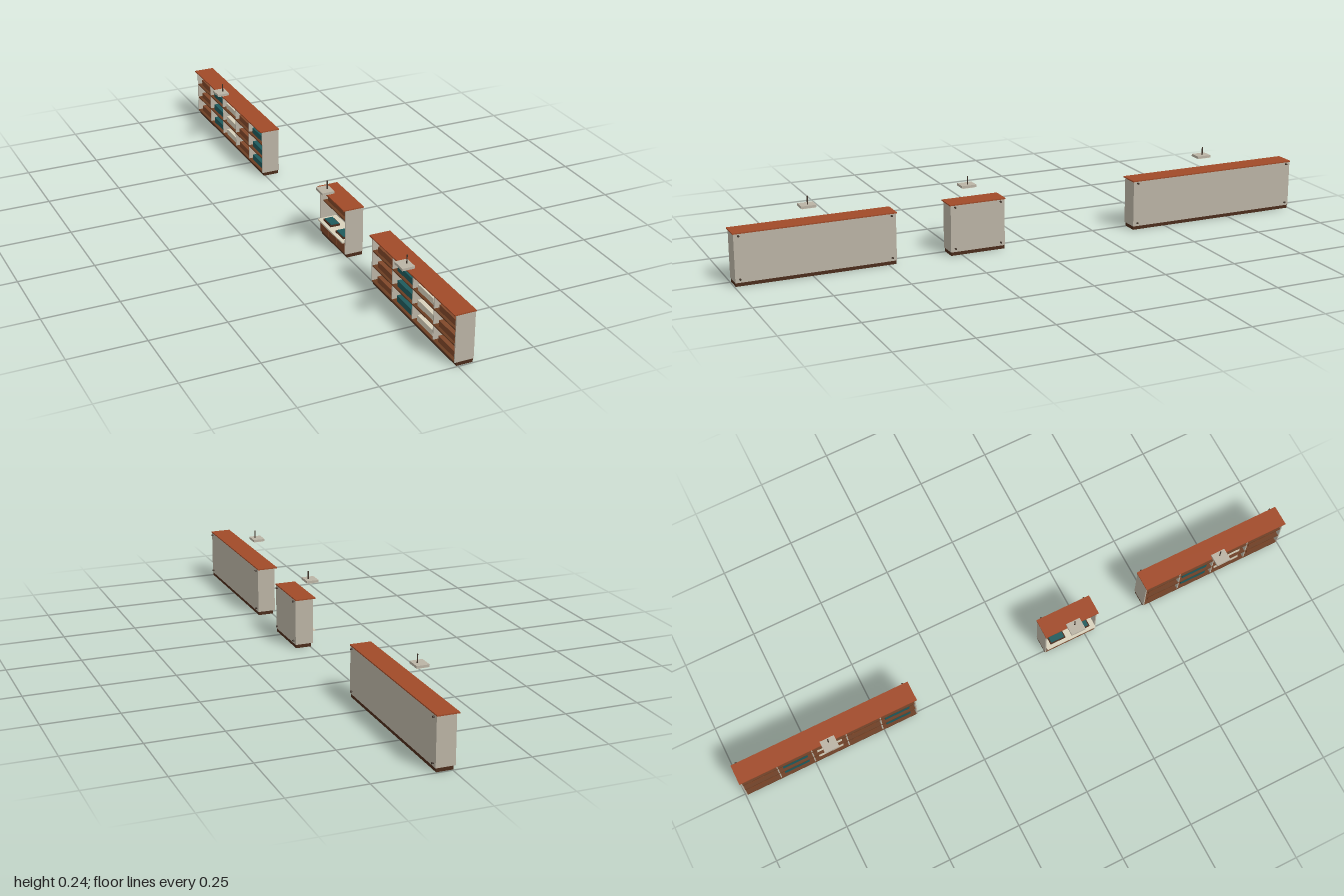
import * as THREE from 'three';

const paint = (name, color) => {
  const m = new THREE.MeshStandardMaterial({ color });
  m.name = name;
  return m;
};
const mats = {
  panel: paint('beige panel', 0xbab3a4),
  lid: paint('rust wood', 0xa04a28),
  plinth: paint('dark wood', 0x4a2b1a),
  shelf: paint('brown wood', 0x6b3d22),
  goods: paint('tan brown goods', 0x80482a),
  teal: paint('teal goods', 0x1f5a5c),
  cream: paint('cream goods', 0xd8d1bc),
  metal: paint('dark metal', 0x40342a),
};

// box given by its lower and upper limits on each axis
function box(parent, name, mat, [x0, x1], [y0, y1], [z0, z1]) {
  const mesh = new THREE.Mesh(new THREE.BoxGeometry(x1 - x0, y1 - y0, z1 - z0), mats[mat]);
  mesh.name = name;
  mesh.position.set((x0 + x1) / 2, (y0 + y1) / 2, (z0 + z1) / 2);
  parent.add(mesh);
  return mesh;
}

function rod(parent, name, radius, length, x, y, z, alongX) {
  const mesh = new THREE.Mesh(new THREE.CylinderGeometry(radius, radius, length, 12), mats.metal);
  mesh.name = name;
  mesh.position.set(x, y, z);
  if (alongX) mesh.rotation.z = Math.PI / 2;
  parent.add(mesh);
}

const FRONT = -0.01, BACK = 0.052, BASE = 0.012, TOP = 0.168, WALL = 0.004;

// shell shared by every cabinet, open towards -x
function cabinetShell(name, z0, z1) {
  const g = new THREE.Group();
  g.name = name;
  const a = z0 + 0.003, b = z1 - 0.003;
  box(g, 'plinth', 'plinth', [-0.004, 0.05], [0, BASE], [a + 0.001, b - 0.001]);
  box(g, 'lid', 'lid', [-0.018, BACK + 0.0005], [TOP, 0.172], [z0, z1]);
  box(g, 'backPanel', 'panel', [BACK - WALL, BACK], [BASE, TOP], [a, b]);
  box(g, 'endPanel', 'panel', [FRONT, BACK - WALL], [BASE, TOP], [a, a + WALL]);
  box(g, 'endPanel', 'panel', [FRONT, BACK - WALL], [BASE, TOP], [b - WALL, b]);
  box(g, 'floorBoard', 'shelf', [FRONT, BACK - WALL], [BASE, BASE + 0.004], [a + WALL, b - WALL]);
  for (const z of [z0 + 0.018, z1 - 0.018])
    for (const y of [0.023, 0.162]) rod(g, 'bolt', 0.003, 0.006, BACK + 0.003, y, z, true);
  return g;
}

// long cabinet: bays of three shelves with goods
function shelfCabinet(z0, z1, bays) {
  const g = cabinetShell('shelfCabinet', z0, z1);
  const kinds = ['goods', 'teal', 'cream'];
  const start = z0 + 0.007, width = (z1 - z0 - 0.014) / bays, pitch = (TOP - BASE) / 3;
  for (let row = 1; row < 3; row++) {
    const y = BASE + row * pitch;
    box(g, 'shelf', 'shelf', [FRONT + 0.001, BACK - WALL], [y, y + 0.004], [start, z1 - 0.007]);
  }
  for (let i = 0; i < bays; i++) {
    const z = start + i * width;
    if (i) box(g, 'divider', 'panel', [FRONT + 0.002, BACK - WALL], [BASE, TOP], [z - 0.002, z + 0.002]);
    for (let row = 0; row < 3; row++) {
      const y = BASE + row * pitch + 0.004;
      box(g, 'goods', kinds[i % 3], [0, 0.036], [y, y + 0.02], [z + width * 0.14, z + width * 0.86]);
    }
  }
  return g;
}

// small cabinet: drawers, counter, trays and upper shelf
function counterCabinet(z0, z1) {
  const g = cabinetShell('counterCabinet', z0, z1);
  const a = z0 + 0.007, b = z1 - 0.007, w = (b - a) / 3;
  box(g, 'drawerCase', 'plinth', [FRONT + 0.004, BACK - WALL], [BASE + 0.004, 0.052], [a, b]);
  for (let i = 0; i < 3; i++)
    box(g, 'drawerFront', 'goods', [FRONT - 0.001, FRONT + 0.004], [0.017, 0.05],
      [a + i * w + 0.002, a + (i + 1) * w - 0.002]);
  box(g, 'counter', 'cream', [-0.02, BACK - WALL], [0.052, 0.057], [a, b]);
  for (const z of [a + 0.045, b - 0.045]) {
    box(g, 'trayRim', 'plinth', [-0.008, 0.026], [0.057, 0.062], [z - 0.028, z + 0.028]);
    box(g, 'tray', 'teal', [-0.005, 0.023], [0.062, 0.065], [z - 0.024, z + 0.024]);
  }
  box(g, 'upperShelf', 'shelf', [0, BACK - WALL], [0.118, 0.122], [a, b]);
  box(g, 'shelfGoods', 'goods', [0.01, 0.042], [0.122, 0.14], [a + 0.015, b - 0.015]);
  return g;
}

// square lamp hanging above the open side
function lamp(z) {
  const g = new THREE.Group();
  g.name = 'hangingLamp';
  box(g, 'lampHousing', 'panel', [-0.058, -0.016], [0.2, 0.208], [z - 0.025, z + 0.025]);
  box(g, 'lampLens', 'cream', [-0.055, -0.019], [0.198, 0.2], [z - 0.022, z + 0.022]);
  rod(g, 'lampStem', 0.002, 0.028, -0.03, 0.222, z, false);
  return g;
}

export function createModel() {
  const model = new THREE.Group();
  model.name = 'shopCabinets';
  model.add(
    shelfCabinet(-1, -0.375, 5),
    counterCabinet(0.095, 0.29),
    shelfCabinet(0.47, 1, 4),
    lamp(-0.69), lamp(0.193), lamp(0.735),
  );
  return model;
}
